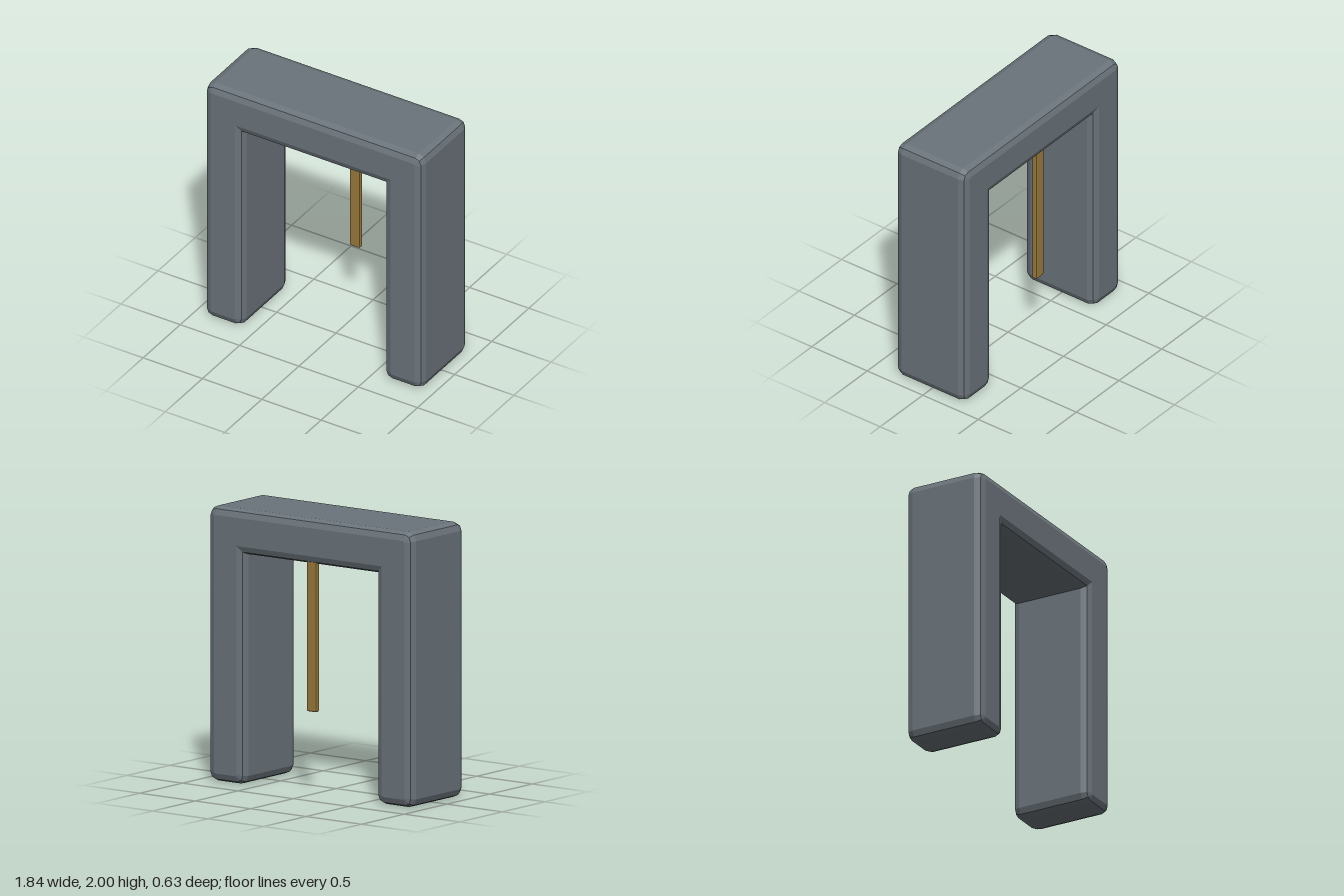
import * as THREE from 'three';

// Extrudes an outline with a two-step bevel; corners are [x, y, cornerRadius], counter-clockwise.
function beveledSlab(corners, depth, bevel) {
  const points = [];
  corners.forEach(([x, y, r], i) => {
    const p = new THREE.Vector2(x, y);
    if (!r) return points.push(p);
    const n = corners.length;
    const [a, b] = [corners[(i + n - 1) % n], corners[(i + 1) % n]]
      .map(([cx, cy]) => new THREE.Vector2(cx, cy).sub(p).setLength(r));
    // Quarter round in two steps
    for (let k = 0; k <= 2; k++) {
      const t = (k * Math.PI) / 4;
      points.push(p.clone().addScaledVector(a, 1 - Math.sin(t)).addScaledVector(b, 1 - Math.cos(t)));
    }
  });
  const geometry = new THREE.ExtrudeGeometry(new THREE.Shape(points), {
    depth: depth - 2 * bevel,
    bevelEnabled: true,
    bevelThickness: bevel,
    bevelSize: bevel,
    bevelOffset: -bevel,
    bevelSegments: 2,
  });
  return geometry.translate(0, 0, -depth / 2 + bevel);
}

function part(name, geometry, color) {
  const mesh = new THREE.Mesh(geometry, new THREE.MeshStandardMaterial({ color, flatShading: true }));
  mesh.name = name;
  return mesh;
}

export function createModel() {
  const group = new THREE.Group();
  group.name = 'gateway';

  // Stone arch: two posts and a lintel in one piece, with sharp inner corners
  const W = 0.92, IN = 0.595, TOP = 2, UNDER = 1.675, R = 0.062;
  const arch = beveledSlab([
    [-W, 0, R], [-IN, 0, R], [-IN, UNDER, 0], [IN, UNDER, 0],
    [IN, 0, R], [W, 0, R], [W, TOP, R], [-W, TOP, R],
  ], 0.63, 0.06);
  group.add(part('arch', arch, 0x6b747b));

  // Slim bar hanging from the lintel near the back
  const w = 0.043, r = 0.011;
  const bar = beveledSlab([[-w, 0.6, r], [w, 0.6, r], [w, 1.75, r], [-w, 1.75, r]], 0.04, 0.01);
  const hangingBar = part('hangingBar', bar, 0x9a7a3c);
  hangingBar.position.z = -0.27;
  group.add(hangingBar);

  return group;
}
